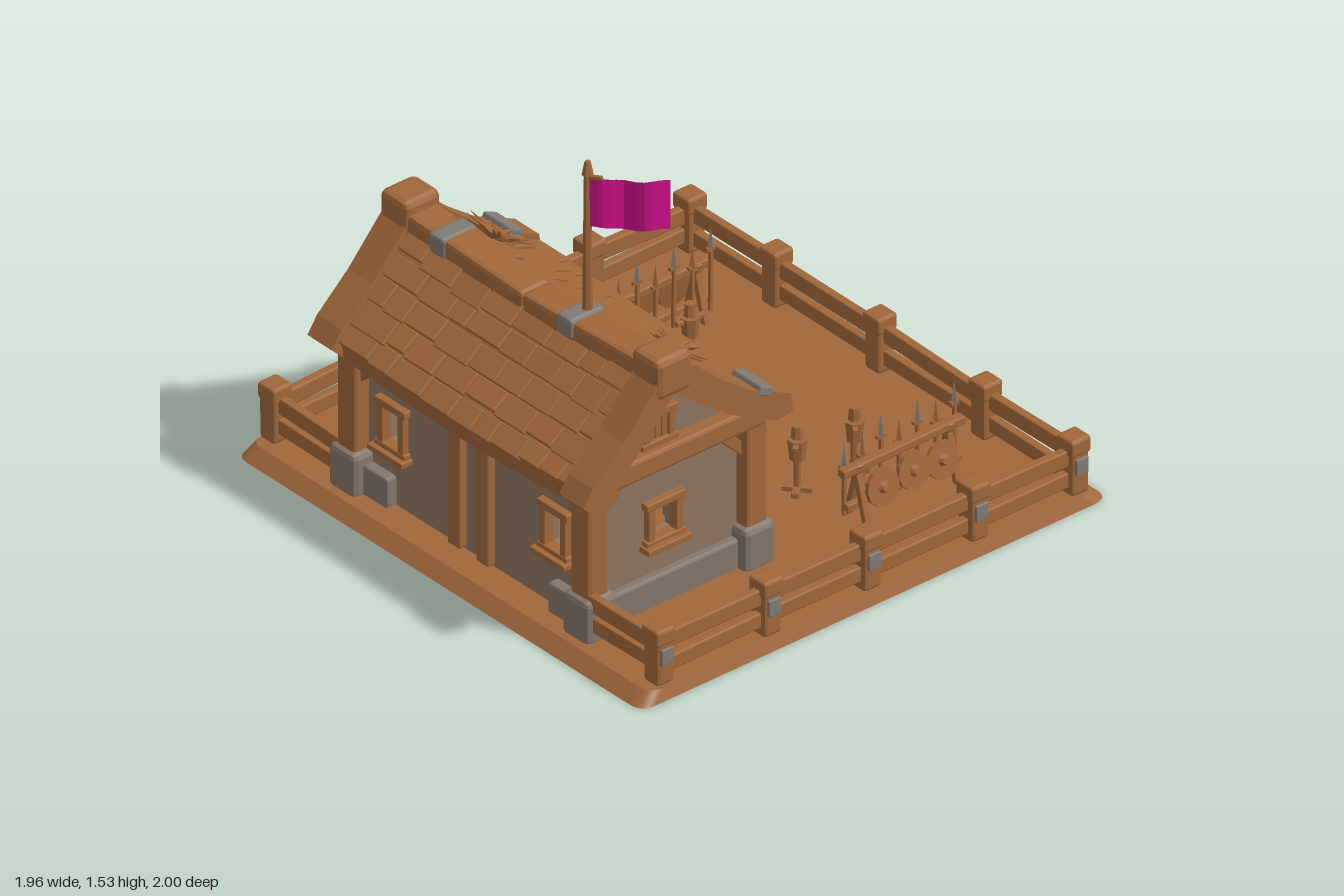
import * as THREE from 'three';
import { RoundedBoxGeometry } from 'three/addons/geometries/RoundedBoxGeometry.js';

const mat = (name, color, side = THREE.FrontSide) => {
  const m = new THREE.MeshStandardMaterial({ color, flatShading: true, side });
  m.name = name;
  return m;
};

export function createModel() {
  const root = new THREE.Group();
  root.name = 'fencedTrainingHouse';
  const wood = mat('wood', 0xa0673a), plaster = mat('plaster', 0x8f7661);
  const stone = mat('stone', 0x84766b), iron = mat('iron', 0x817a75);
  const cloth = mat('flagCloth', 0xd2108c, THREE.DoubleSide);

  let seed = 7;
  const rnd = (a, b) => {
    seed = (seed * 16807) % 2147483647;
    return a + (b - a) * seed / 2147483647;
  };
  const V = (x, y, z) => new THREE.Vector3(x, y, z);
  const group = (name, parent = root) => {
    const g = new THREE.Group();
    g.name = name;
    parent.add(g);
    return g;
  };
  const add = (p, name, geo, m, x = 0, y = 0, z = 0) => {
    const mesh = new THREE.Mesh(geo, m);
    mesh.name = name;
    mesh.position.set(x, y, z);
    p.add(mesh);
    return mesh;
  };
  // Chamfered block given by its centre
  const box = (p, name, m, w, h, d, x, y, z) =>
    add(p, name, new RoundedBoxGeometry(w, h, d, 1, Math.min(w, h, d) * 0.16), m, x, y, z);
  // Chamfered timber running from a to b
  const beam = (p, name, m, a, b, w, h) => {
    const mesh = new THREE.Mesh(new RoundedBoxGeometry(w, h, a.distanceTo(b), 1, Math.min(w, h) * 0.16), m);
    mesh.name = name;
    mesh.position.copy(a).lerp(b, 0.5);
    mesh.lookAt(b);
    p.add(mesh);
    return mesh;
  };
  const shapeOf = pts => new THREE.Shape(pts.map(q => new THREE.Vector2(...q)));
  const rectHole = (x, y, w, h) => new THREE.Path([[-1, -1], [1, -1], [1, 1], [-1, 1]]
    .map(([i, j]) => new THREE.Vector2(x + i * w / 2, y + j * h / 2)));
  const extrude = (shape, depth, steps = 1) =>
    new THREE.ExtrudeGeometry(shape, { depth, steps, bevelEnabled: false, curveSegments: 12 });

  // Ground slab with rounded corners and sloping rim
  const gs = new THREE.Shape(), gx = 0.98, gz = 1, r = 0.06;
  gs.moveTo(-gx + r, -gz).lineTo(gx - r, -gz).quadraticCurveTo(gx, -gz, gx, -gz + r)
    .lineTo(gx, gz - r).quadraticCurveTo(gx, gz, gx - r, gz)
    .lineTo(-gx + r, gz).quadraticCurveTo(-gx, gz, -gx, gz - r)
    .lineTo(-gx, -gz + r).quadraticCurveTo(-gx, -gz, -gx + r, -gz);
  const gGeo = extrude(gs, 0.042).rotateX(-Math.PI / 2), gp = gGeo.attributes.position;
  for (let i = 0; i < gp.count; i++)
    if (gp.getY(i) > 0.02) gp.setXYZ(i, gp.getX(i) * 0.95, gp.getY(i), gp.getZ(i) * 0.985);
  add(root, 'ground', gGeo, wood);

  // Fence: posts with iron brackets and two rails per span
  const fence = group('fence');
  const xs = [-0.86, -0.41, 0.01, 0.46, 0.88], zs = [-0.945, -0.52, -0.01, 0.51, 0.945];
  const post = (x, z, nx, nz) => {
    box(fence, 'fencePost', wood, 0.072, 0.21, 0.072, x, 0.15, z);
    box(fence, 'postCap', wood, 0.082, 0.06, 0.082, x, 0.225, z);
    box(fence, 'postBracket', iron, nx ? 0.02 : 0.05, 0.06, nz ? 0.02 : 0.05, x + nx * 0.036, 0.155, z + nz * 0.036);
  };
  const rails = (a, b) => [[0.185, 0.06], [0.105, 0.055]].forEach(([y, h]) =>
    beam(fence, 'fenceRail', wood, V(a[0], y + rnd(-0.008, 0.008), a[1]), V(b[0], y + rnd(-0.008, 0.008), b[1]), 0.032, h));
  for (const s of [-1, 1]) {
    xs.forEach((x, i) => {
      post(x, s * 0.945, 0, s);
      if (i) rails([xs[i - 1], s * 0.945], [x, s * 0.945]);
    });
    rails([-0.86, s * 0.945], [-0.86, s * 0.6]);
  }
  zs.forEach((z, i) => {
    if (i && i < 4) post(0.88, z, 1, 0);
    if (i) rails([0.88, zs[i - 1]], [0.88, z]);
  });

  // House walls with real openings
  const house = group('house');
  const gable = shapeOf([[-0.82, 0.03], [-0.17, 0.03], [-0.17, 0.62], [-0.33, 0.72], [-0.57, 0.9], [-0.82, 0.64]]);
  gable.holes.push(rectHole(-0.53, 0.345, 0.1, 0.12));
  for (const s of [-1, 1]) add(house, 'gableWall', extrude(gable, 0.04), plaster, 0, 0, s * 0.55 - 0.02);
  const longWall = arch => {
    const sh = shapeOf(arch
      ? [[-0.57, 0.03], [-0.2, 0.03], [-0.2, 0.24], ...Array.from({ length: 11 }, (_, i) => {
        const a = Math.PI * (1 - (i + 1) / 12);
        return [0.2 * Math.cos(a), 0.24 + 0.2 * Math.sin(a)];
      }), [0.2, 0.24], [0.2, 0.03], [0.57, 0.03], [0.57, 0.62], [-0.57, 0.62]]
      : [[-0.57, 0.03], [0.57, 0.03], [0.57, 0.64], [-0.57, 0.64]]);
    for (const z of [-0.4, 0.4]) sh.holes.push(rectHole(z, 0.335, 0.085, 0.14));
    return extrude(sh, 0.04).rotateY(Math.PI / 2);
  };
  add(house, 'archWall', longWall(true), plaster, -0.21);
  add(house, 'backWall', longWall(false), plaster, -0.82);

  // Corner timbers, stone footings, wall plates and braces
  for (const s of [-1, 1]) {
    for (const x of [-0.835, -0.17]) {
      box(house, 'cornerPost', wood, 0.09, 0.56, 0.09, x, 0.33, s * 0.575);
      box(house, 'cornerStone', stone, 0.13, 0.17, 0.13, x, 0.11, s * 0.575);
      const nx = x < -0.5 ? -1 : 1;
      box(house, 'sideStone', stone, 0.06, 0.12, 0.13, x - nx * 0.005, 0.09, s * 0.46);
      beam(house, 'gableBrace', wood, V(x - nx * 0.02, 0.46, s * 0.58), V(x - nx * 0.14, 0.58, s * 0.58), 0.03, 0.04);
      beam(house, 'sideBrace', wood, V(x, 0.45, s * 0.56), V(x, 0.58, s * 0.46), 0.04, 0.04);
    }
    box(house, 'gablePlinth', stone, 0.64, 0.12, 0.06, -0.5, 0.09, s * 0.57);
    box(house, 'tieBeam', wood, 0.74, 0.08, 0.07, -0.5, 0.6, s * 0.59);
    beam(house, 'archBrace', wood, V(-0.14, 0.44, s * 0.3), V(-0.13, 0.58, s * 0.16), 0.04, 0.045);
    box(house, 'archPost', wood, 0.04, 0.12, 0.06, -0.15, 0.52, s * 0.25);
  }
  box(house, 'frontPlate', wood, 0.06, 0.07, 1.2, -0.17, 0.6, 0);
  box(house, 'backPlate', wood, 0.06, 0.08, 1.2, -0.84, 0.6, 0);
  for (const z of [-0.08, 0.06]) box(house, 'backPost', wood, 0.04, 0.54, 0.06, -0.83, 0.32, z);
  box(house, 'awningPlank', wood, 0.035, 0.05, 0.46, -0.115, 0.635, -0.02).rotation.x = 0.04;
  for (const s of [-1, 1])
    beam(house, 'crossedSword', s > 0 ? iron : wood, V(-0.105, 0.55, 0.05 - s * 0.09), V(-0.105, 0.64, 0.05 + s * 0.09), 0.015, 0.02);

  // Window frames, built facing +z and turned to their wall
  const frame = (name, x, y, z, turn, w, h, shutter) => {
    const g = group(name, house), t = 0.028;
    for (const s of [-1, 1]) {
      box(g, 'jamb', wood, t, h, 0.04, s * (w - t) / 2, 0, 0);
      box(g, 'lintel', wood, w + 0.02, t, 0.045, 0, s * (h - t) / 2, 0);
    }
    if (shutter) for (let i = -1; i <= 1; i++) box(g, 'shutterPlank', wood, 0.026, h - 0.05, 0.02, i * 0.028, 0, 0);
    else box(g, 'sill', wood, w + 0.04, 0.022, 0.065, 0, -h / 2, 0.01);
    g.position.set(x, y, z);
    g.rotation.y = turn;
  };
  for (const s of [-1, 1]) {
    const turn = s > 0 ? 0 : Math.PI;
    frame('gableWindow', -0.53, 0.345, s * 0.575, turn, 0.145, 0.17);
    frame('atticWindow', -0.555, 0.705, s * 0.575, turn, 0.13, 0.14, true);
    frame('frontWindow', -0.165, 0.335, s * 0.4, Math.PI / 2, 0.13, 0.19);
    frame('backWindow', -0.825, 0.335, s * 0.4, -Math.PI / 2, 0.13, 0.19);
  }

  // Stone doorway arch
  const door = group('doorArch');
  for (let i = 0; i < 9; i++) {
    const a = Math.PI * (i + 0.5) / 9;
    box(door, 'archStone', stone, 0.1, 0.065, 0.084, -0.165, 0.24 + 0.232 * Math.sin(a), 0.232 * Math.cos(a)).rotation.x = Math.PI / 2 - a;
  }
  for (const s of [-1, 1]) for (let i = 0; i < 2; i++)
    box(door, 'jambStone', stone, 0.1, 0.1, 0.068, -0.165, 0.09 + i * 0.1, s * 0.232);

  // Roof: sagging deck, shingle courses, barge boards and ridge
  const roof = group('roof');
  const sag = z => -0.025 * (1 - (z / 0.6) ** 2);
  const upper = [[-0.07, 0.61], [-0.08, 0.68], [-0.25, 0.76], [-0.37, 0.85], [-0.48, 0.95], [-0.57, 0.98],
    [-0.64, 0.94], [-0.78, 0.78], [-0.91, 0.66], [-0.95, 0.6]];
  const lower = [[-0.9, 0.55], [-0.8, 0.63], [-0.57, 0.88], [-0.33, 0.7], [-0.14, 0.6]];
  const deck = extrude(shapeOf([...upper.slice(1, -1).map(([x, y]) => [x, y - 0.035]), ...lower]), 1.16, 6).translate(0, 0, -0.58);
  const dp = deck.attributes.position;
  for (let i = 0; i < dp.count; i++) dp.setY(i, dp.getY(i) + sag(dp.getZ(i)));
  add(roof, 'roofDeck', deck, wood);
  const slopes = [[[-0.53, 0.93], [-0.37, 0.82], [-0.25, 0.73], [-0.09, 0.645]], [[-0.61, 0.925], [-0.77, 0.755], [-0.92, 0.605]]];
  for (const slope of slopes) {
    const path = new THREE.CatmullRomCurve3(slope.map(([x, y]) => V(x, y, 0)));
    for (let c = 0; c < 5; c++) for (let z = -0.56; z < 0.55;) {
      const w = Math.min(rnd(0.08, 0.17), 0.57 - z), zc = z + w / 2;
      const a = path.getPointAt(c / 5), b = path.getPointAt(Math.min(1, (c + 1.1 + rnd(-0.08, 0.12)) / 5));
      a.add(V(0, sag(zc), zc));
      b.add(V(0, sag(zc) + rnd(0.012, 0.024), zc));
      beam(roof, 'shingle', wood, a, b, w - 0.005, 0.026);
      z += w;
    }
  }
  for (const s of [-1, 1]) {
    add(roof, 'bargeBoard', extrude(shapeOf([...upper, ...lower]), 0.12), wood, 0, 0, s * 0.62 - 0.06);
    box(roof, 'ridgeCap', wood, 0.15, 0.15, 0.135, -0.57, 0.95, s * 0.62);
    beam(roof, 'ridgeBeam', wood, V(-0.57, 0.93, s * 0.58), V(-0.57, 0.905, 0), 0.125, 0.1);
    beam(roof, 'bargeClamp', iron, V(-0.215, 0.745, s * 0.615), V(-0.16, 0.72, s * 0.615), 0.14, 0.035);
    // Loose thatch tufts
    for (let i = 0; i < 18; i++) {
      const a = i / 18 * Math.PI * 2, l = rnd(0.08, 0.13), c = Math.cos(a), d = Math.sin(a);
      const tip = V(c * l, -c * l * 0.75 + rnd(0.015, 0.06), d * l);
      const tuft = add(roof, 'thatchTuft', new THREE.ConeGeometry(0.016, l, 4), wood);
      tuft.position.set(-0.36, 0.845, s * 0.44).addScaledVector(tip, 0.5);
      tuft.quaternion.setFromUnitVectors(V(0, 1, 0), tip.normalize());
    }
  }
  for (const z of [0.22, -0.41]) box(roof, 'ridgeClamp', iron, 0.145, 0.075, 0.075, -0.57, 0.94, z);

  // Flag on its pole
  const flag = group('flag');
  add(flag, 'flagPole', new THREE.CylinderGeometry(0.012, 0.018, 0.58, 6), wood, -0.55, 1.22, 0.23);
  add(flag, 'poleTop', new THREE.CylinderGeometry(0.01, 0.02, 0.05, 6), wood, -0.55, 1.51, 0.23);
  beam(flag, 'flagArm', wood, V(-0.555, 1.475, 0.22), V(-0.53, 1.485, 0.28), 0.014, 0.014);
  const wave = new THREE.CatmullRomCurve3([V(-0.555, 0, 0.235), V(-0.53, 0, 0.28), V(-0.47, 0, 0.315), V(-0.44, 0, 0.38), V(-0.365, 0, 0.42)]);
  const fg = new THREE.PlaneGeometry(1, 0.185, 12, 3), fp = fg.attributes.position;
  for (let i = 0; i < fp.count; i++) {
    const t = fp.getX(i) + 0.5, q = wave.getPoint(t);
    fp.setXYZ(i, q.x, 1.385 + fp.getY(i) + 0.006 * Math.sin(t * 9), q.z);
  }
  add(flag, 'flagCloth', fg, cloth);

  // Weapon racks with shields and practice dummies on both sides of the yard
  for (const s of [-1, 1]) {
    const rack = group('weaponRack');
    for (const x of [0.25, 0.63]) for (const k of [-1, 1])
      beam(rack, 'rackLeg', wood, V(x, 0.03, s * (0.62 + k * 0.05)), V(x, 0.25, s * (0.62 - k * 0.01)), 0.025, 0.022);
    beam(rack, 'rackRail', wood, V(0.18, 0.235, s * 0.62), V(0.69, 0.24, s * 0.62), 0.035, 0.03);
    beam(rack, 'rackRail', wood, V(0.2, 0.1, s * 0.62), V(0.68, 0.1, s * 0.62), 0.025, 0.025);
    [0.32, 0.45, 0.57].forEach((x, i) => {
      const sh = group('shield', rack);
      add(sh, 'shieldDisc', new THREE.CylinderGeometry(0.066, 0.066, 0.016, 12), wood);
      add(sh, 'shieldBoss', new THREE.CylinderGeometry(0.012, 0.022, 0.016, 8), wood, 0, 0.014, 0);
      sh.position.set(x, 0.15 + (i % 2) * 0.01, s * 0.66);
      sh.rotation.x = s * (Math.PI / 2 - 0.2);
    });
    for (let i = 0; i < 7; i++) {
      const x = 0.21 + i * 0.077, top = [0.33, 0.34, 0.38, 0.33, 0.37, 0.34, 0.38][i], z = s * 0.6;
      beam(rack, 'weaponShaft', wood, V(x, 0.06, z), V(x + 0.002, top - 0.08, z), 0.013, 0.013);
      add(rack, 'weaponGuard', new THREE.BoxGeometry(0.035, 0.012, 0.014), wood, x, top - 0.085, z);
      add(rack, 'weaponBlade', new THREE.ConeGeometry(0.013, 0.085, 4), i % 2 ? wood : iron, x, top - 0.04, z);
    }
    for (const [x, z] of [[0.21, 0.37], [0.42, 0.405]]) {
      const d = group('practiceDummy');
      add(d, 'dummyPole', new THREE.CylinderGeometry(0.011, 0.013, 0.2, 6), wood, 0, 0.13, 0);
      box(d, 'dummyFoot', wood, 0.1, 0.02, 0.025, 0, 0.05, 0);
      box(d, 'dummyFoot', wood, 0.025, 0.02, 0.1, 0, 0.05, 0);
      add(d, 'dummyBody', new THREE.CylinderGeometry(0.034, 0.026, 0.075, 7), wood, 0, 0.2, 0);
      box(d, 'dummyArms', wood, 0.11, 0.018, 0.018, 0, 0.225, 0);
      add(d, 'dummyHead', new THREE.CylinderGeometry(0.018, 0.022, 0.045, 7), wood, 0, 0.265, 0);
      d.position.set(x, 0, s * z);
      d.rotation.y = s * 0.5 + x;
    }
  }
  return root;
}
